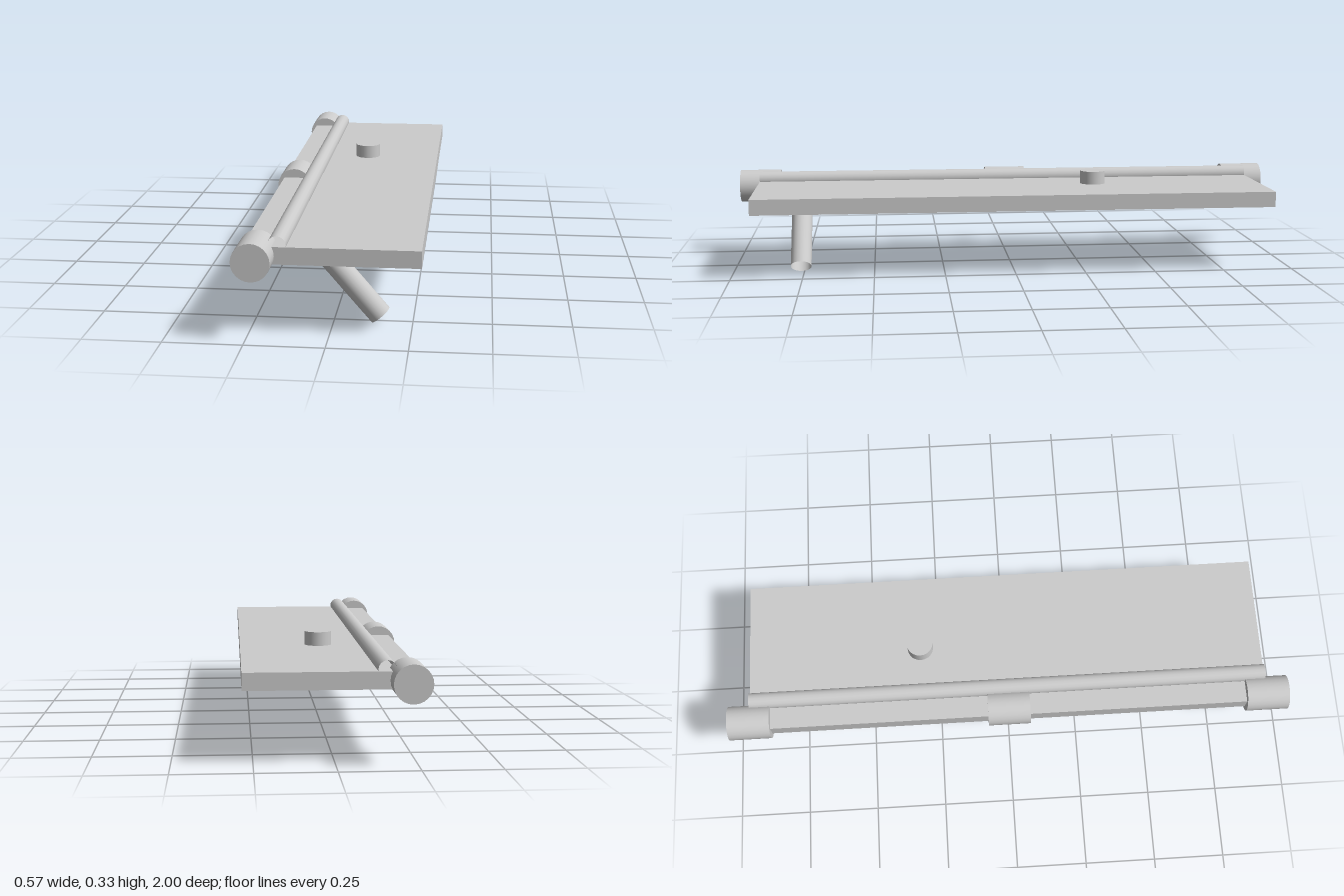
import * as THREE from 'three';

export function createModel() {
  const group = new THREE.Group();
  const solid = new THREE.MeshStandardMaterial({ color: 0xcccccc });
  const open = new THREE.MeshStandardMaterial({ color: 0xcccccc, side: THREE.DoubleSide });

  const add = (name, geometry, x, y, z, material = solid) => {
    const mesh = new THREE.Mesh(geometry, material);
    mesh.name = name;
    mesh.position.set(x, y, z);
    group.add(mesh);
    return mesh;
  };

  // Flat panel
  add('panel', new THREE.BoxGeometry(0.543, 0.055, 1.845), 0.0115, 0.2605, 0);

  // Three hinge knuckles along the left edge of the panel
  const knuckle = new THREE.CylinderGeometry(0.06, 0.06, 0.15, 24).rotateX(Math.PI / 2);
  for (const z of [-0.925, 0, 0.925]) add('hingeKnuckle', knuckle, -0.223, 0.26, z);

  // Open tube lying along the panel beside the hinge
  const rail = new THREE.CylinderGeometry(0.029, 0.029, 1.845, 16, 1, true).rotateX(Math.PI / 2);
  add('rail', rail, -0.155, 0.293, 0, open);

  // Round button on top
  add('button', new THREE.CylinderGeometry(0.046, 0.046, 0.06, 20), 0.013, 0.305, -0.307);

  // Slanted hollow spout under the panel
  const foot = new THREE.Vector3(0.1475, 0.024, 0.76);
  const dir = new THREE.Vector3(-0.65, 0.76, 0).normalize();
  const length = 0.31;
  const centre = foot.clone().addScaledVector(dir, length / 2);
  const spout = add('spout', new THREE.CylinderGeometry(0.0368, 0.0368, length, 20, 1, true),
    centre.x, centre.y, centre.z, open);
  spout.quaternion.setFromUnitVectors(new THREE.Vector3(0, 1, 0), dir);

  return group;
}
